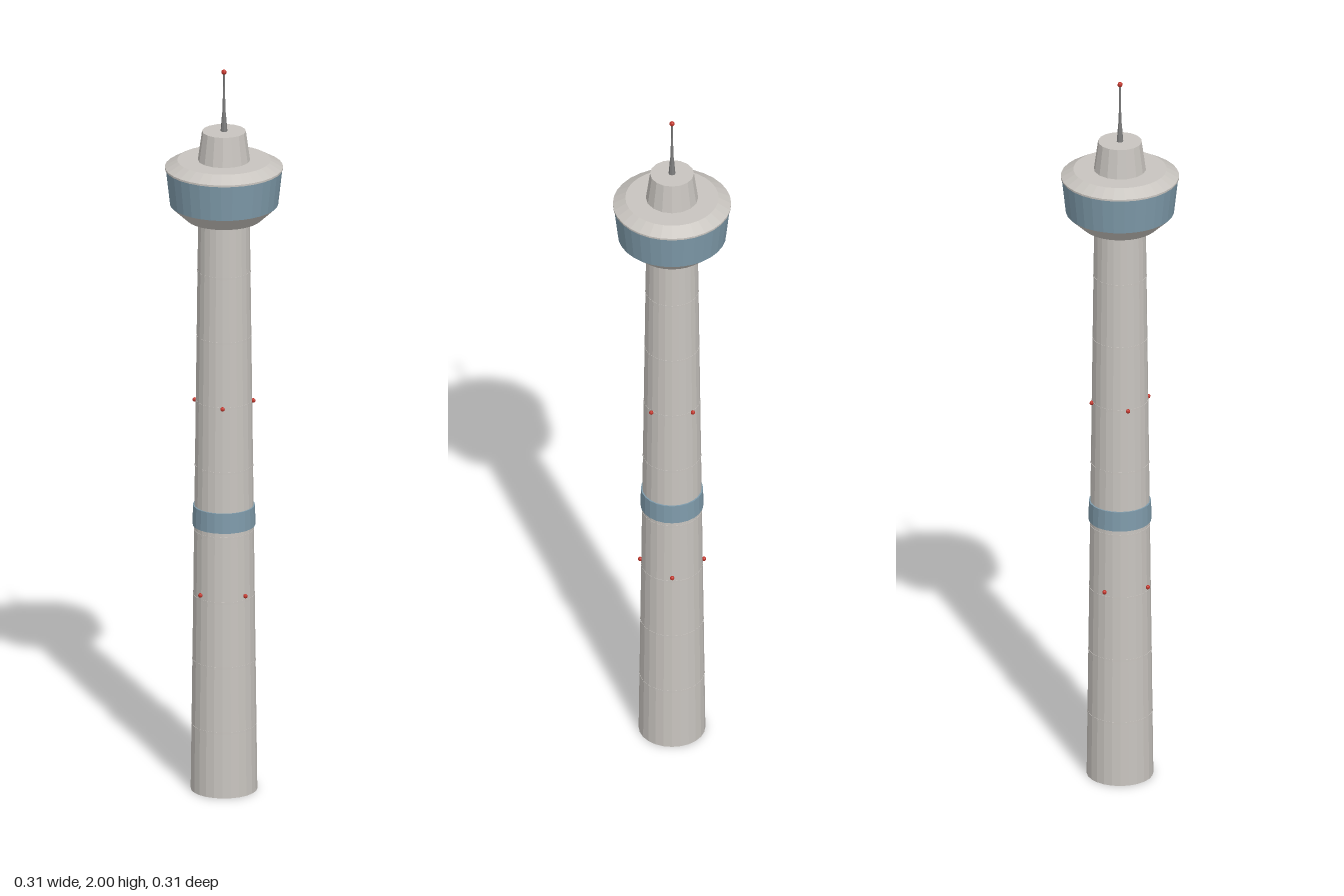
import * as THREE from 'three';

export function createModel() {
  const tower = new THREE.Group();
  tower.name = 'tower';

  const material = (name, color) => {
    const m = new THREE.MeshStandardMaterial({ color, flatShading: true });
    m.name = name;
    return m;
  };
  const concrete = material('concrete', 0xc8c4bf);
  const glass = material('blue glass', 0x7f9bab);
  const metal = material('mast metal', 0x7d7d7d);
  const red = material('beacon red', 0xc0352b);

  const add = (name, geometry, mat, x = 0, y = 0, z = 0) => {
    const mesh = new THREE.Mesh(geometry, mat);
    mesh.name = name;
    mesh.position.set(x, y, z);
    tower.add(mesh);
    return mesh;
  };
  // Tapered round section between two heights
  const section = (name, y0, y1, r0, r1, sides, mat, open = false) =>
    add(name, new THREE.CylinderGeometry(r1, r0, y1 - y0, sides, 1, open), mat, 0, (y0 + y1) / 2);

  // Shaft, narrowing upwards
  const shaftTop = 1.6;
  const shaftRadius = (y) => 0.088 + (0.068 - 0.088) * (y / shaftTop);
  section('shaft', 0, shaftTop, shaftRadius(0), shaftRadius(shaftTop), 24, concrete);

  // Fine construction joints around the shaft
  for (let i = 1; i <= 8; i++) {
    const y = i * 0.18;
    const r = shaftRadius(y) + 0.0006;
    section('shaftJoint', y - 0.003, y + 0.003, r, r, 24, concrete);
  }

  // Glazed band halfway up
  section('glassBand', 0.735, 0.79, 0.083, 0.082, 24, glass);

  // Observation pod: sloping underside, window ring and bevelled roof
  section('podUnderside', 1.587, 1.627, 0.1, 0.143, 32, concrete);
  section('podWindows', 1.627, 1.725, 0.143, 0.154, 32, glass, true);
  const roof = [[0, 1.725], [0.156, 1.725], [0.156, 1.73], [0.123, 1.749], [0, 1.749]];
  add('podRoof', new THREE.LatheGeometry(roof.map(([r, y]) => new THREE.Vector2(r, y)), 32), concrete);

  // Tapered plant room above the roof
  section('plantRoom', 1.749, 1.829, 0.069, 0.058, 16, concrete);

  // Antenna in two stages with a beacon on the tip
  section('mastBase', 1.829, 1.88, 0.009, 0.005, 8, metal);
  section('mast', 1.88, 1.99, 0.004, 0.002, 8, metal);
  add('mastBeacon', new THREE.SphereGeometry(0.007, 8, 6), red, 0, 1.993, 0);

  // Warning lights: four on the axes low down, four on the diagonals higher up
  for (const [y, turn] of [[0.555, 0], [1.08, Math.PI / 4]]) {
    for (let i = 0; i < 4; i++) {
      const a = turn + (i * Math.PI) / 2;
      const r = shaftRadius(y) + 0.003;
      add('warningLight', new THREE.SphereGeometry(0.006, 8, 6), red, r * Math.sin(a), y, r * Math.cos(a));
    }
  }
  return tower;
}
